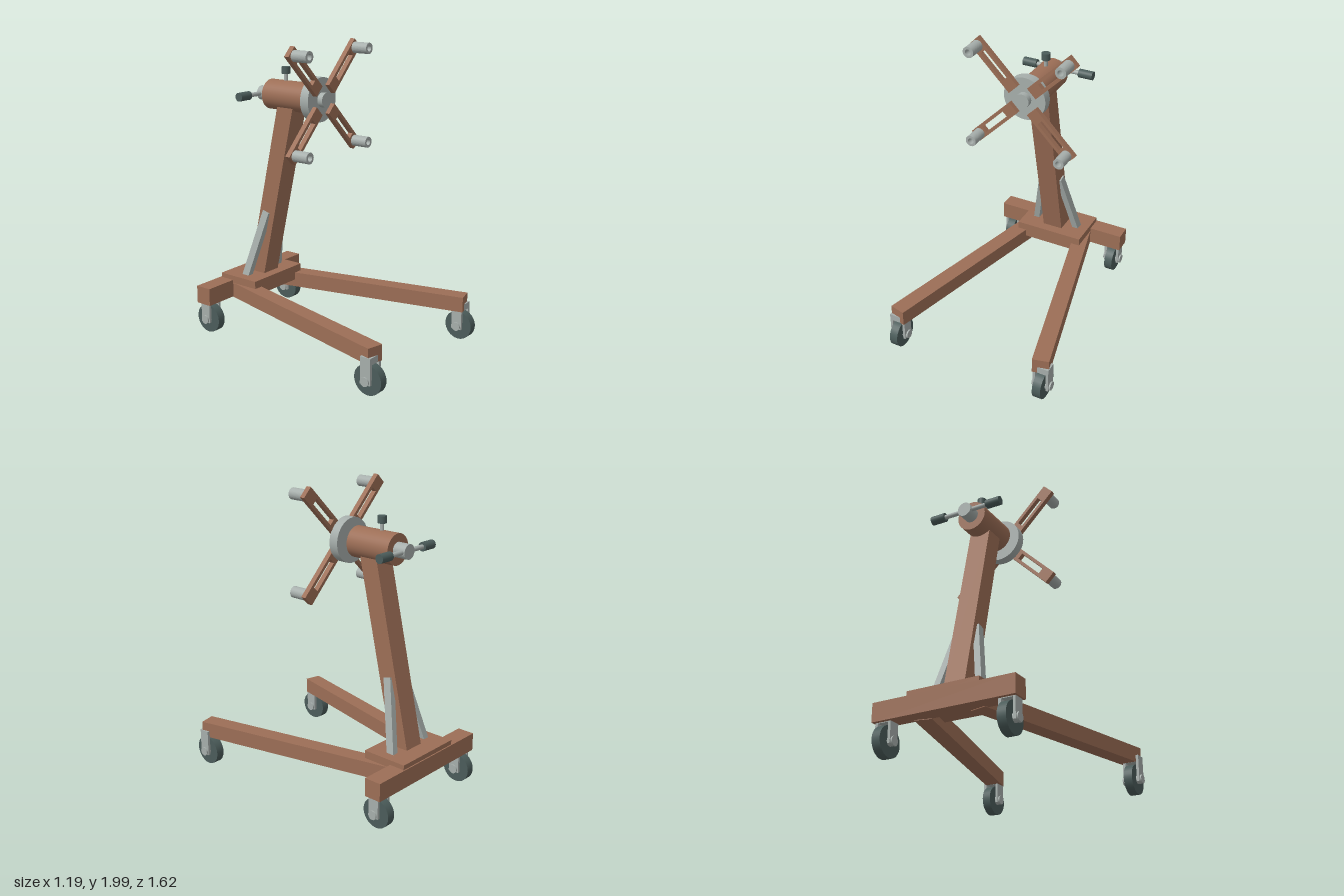
import * as THREE from 'three';

const mat = (name, color) => {
  const m = new THREE.MeshStandardMaterial({ color });
  m.name = name;
  return m;
};

export function createModel() {
  const paint = mat('brown paint', 0x9c6e56);
  const steel = mat('grey steel', 0xa6aeab);
  const rubber = mat('dark rubber', 0x4b5c5a);
  const root = new THREE.Group();
  root.name = 'rotatingWorkStand';

  const add = (name, geo, material, x, y, z, parent = root) => {
    const m = new THREE.Mesh(geo, material);
    m.name = name;
    m.position.set(x, y, z);
    parent.add(m);
    return m;
  };
  const box = (w, h, d) => new THREE.BoxGeometry(w, h, d);
  const cyl = (r, len, axis = 'y', sides = 32) => {
    const g = new THREE.CylinderGeometry(r, r, len, sides);
    if (axis === 'x') g.rotateZ(Math.PI / 2);
    if (axis === 'z') g.rotateX(Math.PI / 2);
    return g;
  };
  // Square bar between two points
  const bar = (name, a, b, w, d, material) => {
    const dir = b.clone().sub(a);
    const mid = a.clone().add(b).multiplyScalar(0.5);
    const m = add(name, box(w, dir.length(), d), material, mid.x, mid.y, mid.z);
    m.quaternion.setFromUnitVectors(new THREE.Vector3(0, 1, 0), dir.normalize());
    return m;
  };
  const V = (x, y, z) => new THREE.Vector3(x, y, z);

  // Base frame
  add('rearBeam', box(0.96, 0.121, 0.116), paint, 0, 0.2725, -0.715);
  add('basePlate', box(0.49, 0.104, 0.314), paint, 0, 0.312, -0.608);

  // Caster: wheel, fork and axle
  const caster = (name, x, z) => {
    const g = new THREE.Group();
    g.name = name;
    g.position.set(x, 0, z);
    root.add(g);
    add('wheel', cyl(0.098, 0.057, 'x'), rubber, 0, 0.098, 0, g);
    add('forkCrown', box(0.11, 0.045, 0.074), steel, 0, 0.23, 0, g);
    for (const s of [-1, 1]) add('forkPlate', box(0.018, 0.175, 0.074), steel, s * 0.046, 0.165, 0, g);
    add('axle', cyl(0.03, 0.13, 'x', 20), steel, 0, 0.098, 0, g);
  };

  const splay = THREE.MathUtils.degToRad(13.6), legLen = 1.46;
  for (const s of [-1, 1]) {
    const side = s > 0 ? 'left' : 'right';
    const leg = add(side + 'Leg', box(0.11, 0.104, legLen), paint,
      s * (0.528 - Math.sin(splay) * legLen / 2), 0.26, 0.746 - Math.cos(splay) * legLen / 2);
    leg.rotation.y = s * splay;
    caster(side + 'FrontCaster', s * 0.53, 0.714);
    caster(side + 'RearCaster', s * 0.413, -0.712);
    bar(side + 'Brace', V(s * 0.162, 0.34, -0.606), V(s * 0.063, 0.815, -0.488), 0.042, 0.054, steel);
  }

  // Leaning post and bearing hub
  bar('post', V(0, 0.33, -0.593), V(0, 1.61, -0.302), 0.143, 0.128, paint);
  const Y = 1.625;
  add('hub', cyl(0.1, 0.327, 'z', 40), paint, 0, Y, -0.324);
  add('shaft', cyl(0.048, 0.555, 'z'), steel, 0, Y, -0.2995);
  add('faceDisk', cyl(0.146, 0.064, 'z', 40), steel, 0, Y, -0.092);

  // Locking knob on the hub
  add('knobStem', cyl(0.013, 0.09, 'y', 16), steel, 0, 1.745, -0.361);
  add('knob', cyl(0.029, 0.046), rubber, 0, 1.793, -0.361);

  // Turning handle
  add('handleBar', cyl(0.015, 0.44, 'x', 16), steel, 0, Y, -0.553);
  for (const s of [-1, 1]) add('handleGrip', cyl(0.029, 0.099, 'x'), rubber, s * 0.204, Y, -0.553);

  // Slotted arms with hollow mounting tubes
  const rect = (P, x0, x1, h) => {
    const p = new P();
    p.moveTo(x0, -h).lineTo(x1, -h).lineTo(x1, h).lineTo(x0, h).closePath();
    return p;
  };
  const armShape = rect(THREE.Shape, 0.09, 0.481, 0.042);
  armShape.holes.push(rect(THREE.Path, 0.175, 0.39, 0.021));
  const armGeo = new THREE.ExtrudeGeometry(armShape, { depth: 0.035, bevelEnabled: false });
  const ring = new THREE.Shape().absarc(0, 0, 0.037, 0, Math.PI * 2);
  ring.holes.push(new THREE.Path().absarc(0, 0, 0.02, 0, Math.PI * 2, true));
  const tubeGeo = new THREE.ExtrudeGeometry(ring, { depth: 0.118, bevelEnabled: false, curveSegments: 24 });
  for (let i = 0; i < 4; i++) {
    const g = new THREE.Group();
    g.name = 'mountArm' + (i + 1);
    g.position.set(0, Y, 0);
    g.rotation.z = Math.PI / 4 + i * Math.PI / 2;
    root.add(g);
    add('slottedArm', armGeo, paint, 0, 0, -0.063, g);
    add('mountTube', tubeGeo, steel, 0.441, 0, -0.029, g);
  }
  return root;
}
